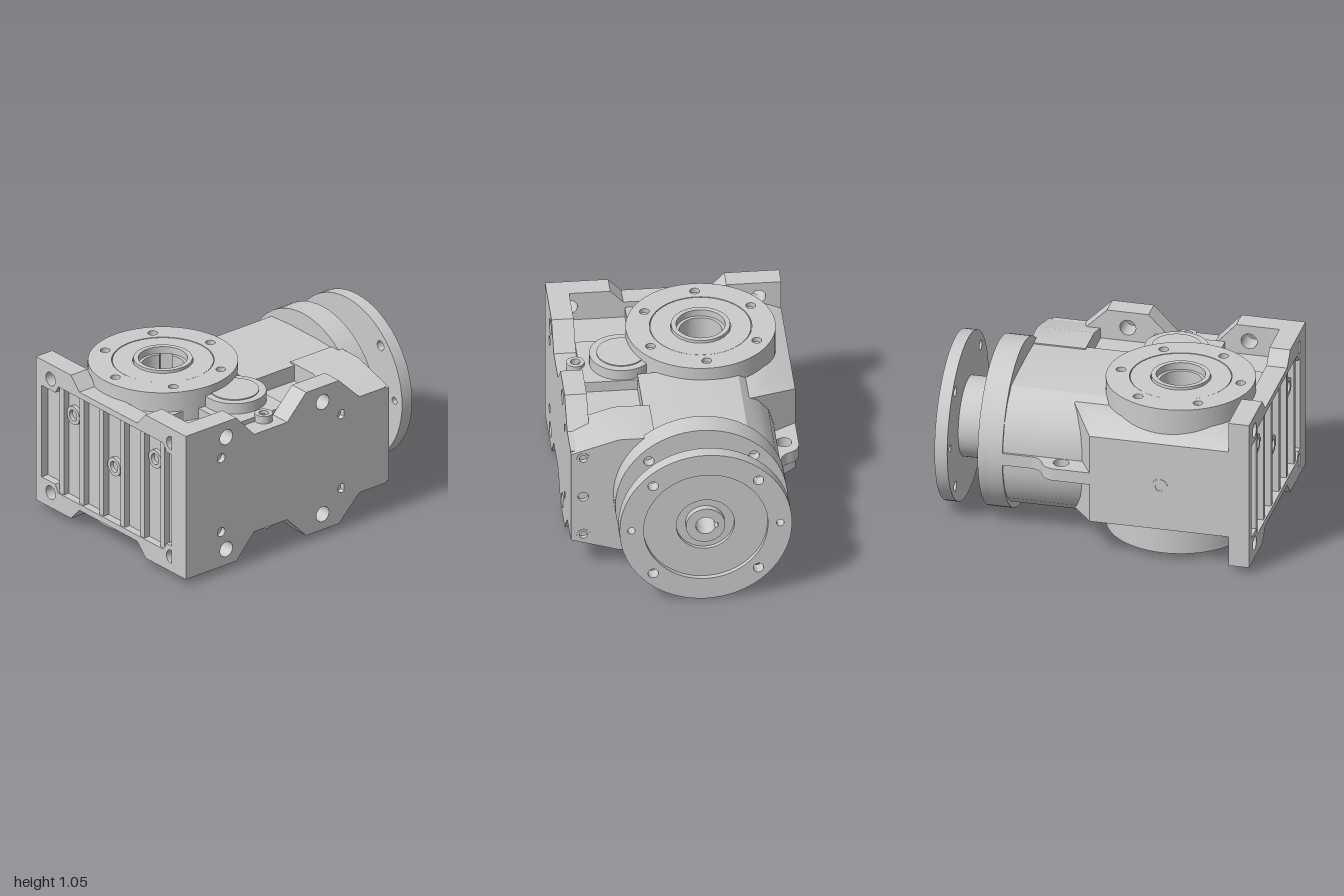
import * as THREE from 'three';
import { toCreasedNormals } from 'three/addons/utils/BufferGeometryUtils.js';

const MID = 0.53; // height of the horizontal symmetry plane
const material = new THREE.MeshStandardMaterial({ color: 0xcccccc, side: THREE.DoubleSide });

// ---- shape helpers ----
const poly = (pts) => new THREE.Shape(pts.map(([a, b]) => new THREE.Vector2(a, b)));
const circle = (x, y, r) => new THREE.Shape().absarc(x, y, r, 0, Math.PI * 2, false);
const cut = (shape, ...holes) => { shape.holes.push(...holes); return shape; };
// closes a half outline by reflecting it in the plane y = 0
const symmetric = (half) => poly([...half, ...half.map(([a, b]) => [a, -b]).reverse()]);
const holesAround = (n, r, cx, cy, start, size) => Array.from({ length: n }, (_, i) => {
  const a = start + (i / n) * Math.PI * 2;
  return circle(cx + r * Math.cos(a), cy + r * Math.sin(a), size);
});
const pairs = (xs, y, r) => xs.flatMap((x) => [circle(x, y, r), circle(x, -y, r)]);
function keyedBore(cx, cy, r, angle) {
  const w = 0.3, s = new THREE.Shape().absarc(cx, cy, r, angle + w, angle - w + Math.PI * 2, false);
  for (const t of [-0.21, 0.21]) s.lineTo(cx + 1.3 * r * Math.cos(angle + t), cy + 1.3 * r * Math.sin(angle + t));
  return s;
}

// ---- extrusion along each axis ----
const extrude = (shape, depth) => new THREE.ExtrudeGeometry(shape, { depth, bevelEnabled: false, curveSegments: 32 });
const alongZ = (shape, z0, z1) => extrude(shape, z1 - z0).translate(0, 0, z0);
// plan drawn in (x, z)
const alongY = (shape, y0, y1) => extrude(shape, y1 - y0).rotateX(Math.PI / 2).translate(0, y1, 0);
// section drawn in (-z, y)
const alongX = (shape, x0, x1) => extrude(shape, x1 - x0).rotateY(Math.PI / 2).translate(x0, 0, 0);

// reflects a geometry in y = 0 and restores the winding
function flipped(geometry) {
  const g = (geometry.index ? geometry.toNonIndexed() : geometry.clone()).scale(1, -1, 1);
  for (const { array, itemSize } of Object.values(g.attributes)) {
    for (let i = 0; i < array.length; i += itemSize * 3) {
      for (let k = 0; k < itemSize; k++) {
        const a = i + itemSize + k, b = a + itemSize;
        [array[a], array[b]] = [array[b], array[a]];
      }
    }
  }
  return g;
}

export function createModel() {
  const root = new THREE.Group();
  root.name = 'rightAngleGearbox';
  const add = (name, geometry) => {
    const mesh = new THREE.Mesh(toCreasedNormals(geometry, 0.5), material);
    mesh.name = name;
    mesh.position.y = MID;
    root.add(mesh);
  };
  const addBoth = (name, geometry) => {
    add(name + 'Upper', geometry);
    add(name + 'Lower', flipped(geometry));
  };

  // ---- main housing with the vertical bore ----
  const OX = -0.44, OZ = -0.18;
  const bore = () => keyedBore(OX, OZ, 0.13, -0.75);
  add('housingCore', alongY(cut(poly([[-0.95, -0.715], [0, -0.715], [0.18, -0.4], [0.25, -0.4], [0.25, 0.58], [-0.95, 0.58]]),
    bore()), -0.29, 0.29));
  const deck = alongY(cut(poly([[-0.95, -0.715], [0, -0.715], [0.18, -0.4], [0.25, -0.4], [0.25, 0.24], [-0.09, 0.24],
    [-0.09, 0.58], [-0.53, 0.58], [-0.53, 0.24], [-0.95, 0.24]]), bore()), 0.29, 0.36);
  const p = deck.attributes.position;
  for (let i = 0; i < p.count; i++) if (p.getY(i) > 0.32) p.setZ(i, Math.max(p.getZ(i), -0.54)); // sloped back edge
  deck.computeVertexNormals();
  addBoth('housingDeck', deck);

  // ---- output flange, top and bottom ----
  addBoth('outputFlangeBody', alongY(cut(circle(OX, OZ, 0.457), bore()), 0.28, 0.46));
  addBoth('outputFlangeRim', alongY(cut(circle(OX, OZ, 0.457), circle(OX, OZ, 0.312),
    ...holesAround(6, 0.375, OX, OZ, 0, 0.03)), 0.46, 0.49));
  addBoth('outputFlangeFace', alongY(cut(circle(OX, OZ, 0.308), circle(OX, OZ, 0.184)), 0.46, 0.488));
  addBoth('outputHub', alongY(cut(circle(OX, OZ, 0.18), circle(OX, OZ, 0.15)), 0.46, 0.505));

  // ---- round cover and drain boss beside the flange ----
  addBoth('cover', alongY(circle(-0.29, 0.32, 0.195), 0.33, 0.43));
  addBoth('coverLid', alongY(circle(-0.29, 0.32, 0.15), 0.42, 0.437));
  addBoth('drainBoss', alongY(cut(circle(-0.29, 0.6, 0.055), circle(-0.29, 0.6, 0.03)), 0.32, 0.38));

  // ---- front mounting plate with four feet ----
  const frontOutline = () => symmetric([[-1, 0.485], [-0.6, 0.485], [-0.46, 0.33], [-0.2, 0.33], [-0.05, 0.485],
    [0.21, 0.485], [0.37, 0.325], [0.58, 0.325]]);
  const feet = () => pairs([-0.68, 0.08], 0.38, 0.05);
  add('frontPlateBack', alongZ(cut(frontOutline(), ...feet()), 0.58, 0.68));
  add('frontPlateFace', alongZ(cut(frontOutline(), ...feet(), ...pairs([-0.72, 0.23], 0.25, 0.03)), 0.68, 0.715));

  // ---- input side: faceted barrel, shoulder and its drilled end ----
  add('inputBarrel', alongX(symmetric([[0.575, 0.1], [0.54, 0.22], [0.47, 0.32], [0.37, 0.395], [0.2, 0.405],
    [-0.05, 0.405], [-0.24, 0.395]]), -0.1, 0.58));
  const shoulder = () => symmetric([[-0.2, 0.405], [-0.42, 0.405], [-0.715, 0.315]]);
  add('inputShoulder', alongX(shoulder(), 0.25, 0.58));
  add('shoulderEnd', alongX(cut(shoulder(), ...[-0.28, 0, 0.28].map((y) => circle(-0.64, y, 0.032))), 0.58, 0.605));
  for (const y of [-0.28, 0.28]) {
    add('shoulderScrew', alongX(cut(circle(-0.64, y, 0.04), circle(-0.64, y, 0.024)), 0.58, 0.608));
  }

  // ---- lifting lug at the back ----
  const lug = new THREE.Shape().moveTo(-0.05, -0.715).lineTo(0.23, -0.715)
    .quadraticCurveTo(0.29, -0.71, 0.315, -0.65).quadraticCurveTo(0.34, -0.59, 0.4, -0.59)
    .lineTo(0.575, -0.59).lineTo(0.575, -0.4).lineTo(-0.05, -0.4);
  add('liftingLug', alongY(cut(lug, circle(0.2, -0.625, 0.048)), -0.04, 0.04));

  // ---- motor coupling: inner flange, neck and outer flange around the x axis ----
  const MZ = 0.07; // drawn in -z
  const disc = (r) => circle(MZ, 0, r);
  const shaftBore = () => keyedBore(MZ, 0, 0.06, 0);
  const flangeHoles = () => [
    ...holesAround(4, 0.455, MZ, 0, Math.PI / 4, 0.032),
    ...holesAround(2, 0.455, MZ, 0, 0, 0.023),
  ];
  add('innerFlangeBack', alongX(disc(0.527), 0.575, 0.67));
  add('innerFlangeFace', alongX(cut(disc(0.527), ...flangeHoles()), 0.67, 0.73));
  add('neck', alongX(cut(disc(0.25), shaftBore()), 0.72, 0.93));
  add('outerFlange', alongX(cut(disc(0.527), disc(0.38), ...flangeHoles()), 0.92, 1));
  add('outerFlangeWeb', alongX(cut(disc(0.382), shaftBore()), 0.92, 0.945));
  add('outerFlangeRecess', alongX(cut(disc(0.382), disc(0.178)), 0.945, 0.97));
  add('inputShaft', alongX(cut(disc(0.12), shaftBore()), 0.94, 0.985));

  // ---- left mounting face: plate, raised frame open at the front edge, ribs and plugs ----
  const cornerHoles = () => pairs([-0.575, 0.575], 0.385, 0.045);
  add('leftPlate', alongX(cut(symmetric([[-0.715, 0.485], [-0.33, 0.485], [-0.25, 0.4], [0.3, 0.4], [0.38, 0.485],
    [0.715, 0.485]]), ...cornerHoles()), -0.95, -0.87));
  add('leftFrame', alongX(cut(symmetric([[0.66, 0.31], [0.53, 0.31], [0.5, 0.36], [-0.5, 0.36], [-0.53, 0.31],
    [-0.715, 0.31], [-0.715, 0.485], [-0.33, 0.485], [-0.25, 0.4], [0.3, 0.4], [0.38, 0.485], [0.715, 0.485]]),
  ...cornerHoles()), -1, -0.95));
  addBoth('edgeStrip', new THREE.BoxGeometry(0.05, 0.145, 0.055).translate(-0.975, 0.1175, 0.6875));
  for (const z of [-0.48, -0.29, -0.1, 0.1, 0.29, 0.48]) {
    add('leftRib', new THREE.BoxGeometry(0.04, 0.74, 0.04).translate(-0.97, 0, z));
  }
  for (const [z, y] of [[-0.39, 0.2], [0, 0], [0.39, 0.2]]) {
    add('leftPlug', alongX(cut(circle(-z, y, 0.06), circle(-z, y, 0.035)), -0.975, -0.94));
  }

  // ---- oil plug on the back ----
  add('backPlug', alongZ(cut(circle(-0.44, 0, 0.05), circle(-0.44, 0, 0.028)), -0.718, -0.7));
  return root;
}
